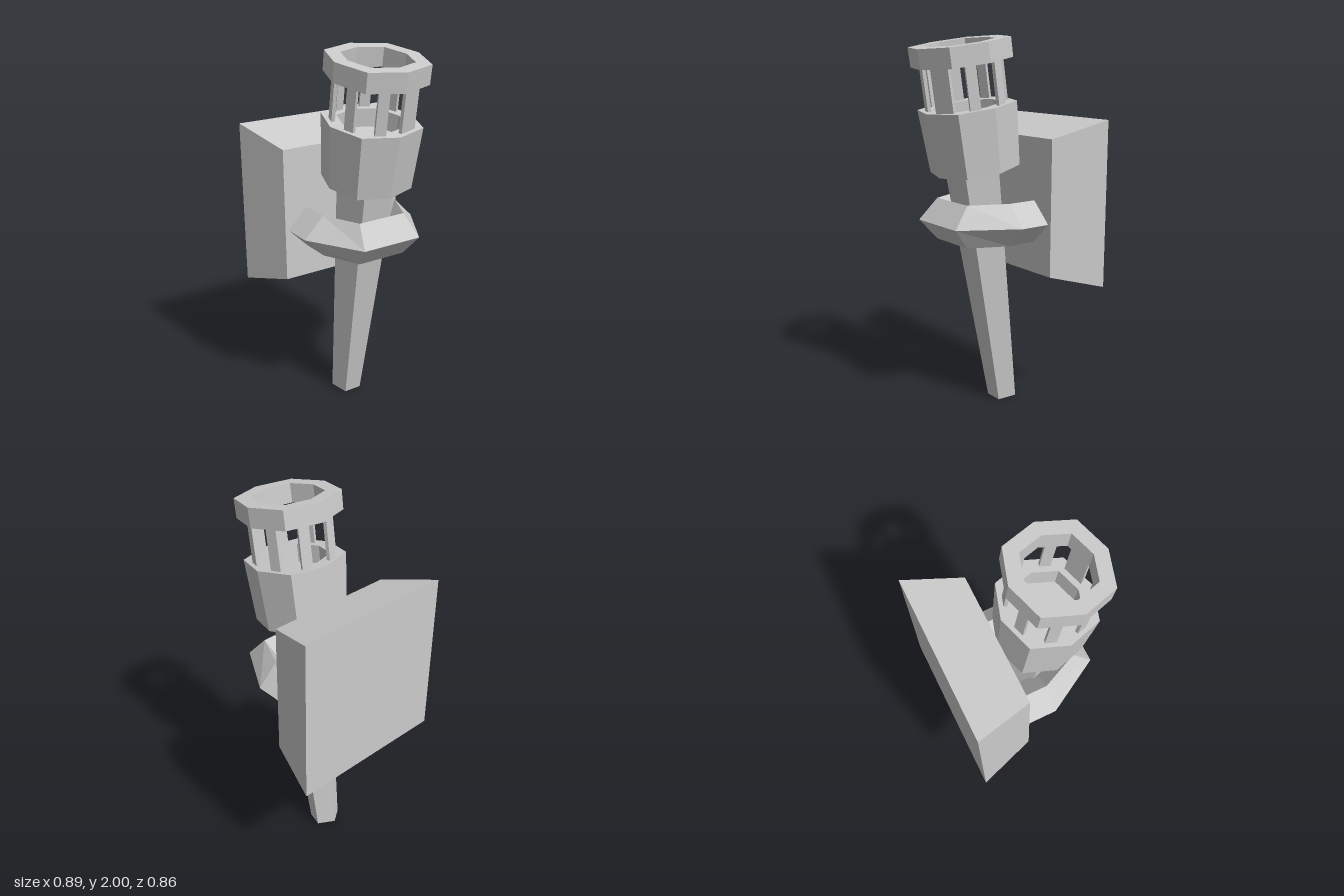
import * as THREE from 'three';

const material = new THREE.MeshStandardMaterial({ color: 0xcccccc, flatShading: true });

// Skin a list of equal-sized point loops; capped ends, or joined last to first
function loft(name, sections, joined = false) {
  const pos = [];
  const tri = (a, b, c) => pos.push(...a, ...b, ...c);
  const n = sections[0].length;
  const steps = joined ? sections.length : sections.length - 1;
  for (let s = 0; s < steps; s++) {
    const lo = sections[s], hi = sections[(s + 1) % sections.length];
    for (let i = 0; i < n; i++) {
      const j = (i + 1) % n;
      tri(lo[i], lo[j], hi[j]);
      tri(lo[i], hi[j], hi[i]);
    }
  }
  if (!joined) {
    const first = sections[0], last = sections[sections.length - 1];
    for (let i = 1; i < n - 1; i++) {
      tri(first[0], first[i + 1], first[i]);
      tri(last[0], last[i], last[i + 1]);
    }
  }
  const geometry = new THREE.BufferGeometry();
  geometry.setAttribute('position', new THREE.Float32BufferAttribute(pos, 3));
  geometry.computeVertexNormals();
  const mesh = new THREE.Mesh(geometry, material);
  mesh.name = name;
  return mesh;
}

// Slightly squared octagon with a corner facing forward
const d = 0.757;
const octagon = [[0, 1], [d, d], [1, 0], [d, -d], [0, -1], [-d, -d], [-1, 0], [-d, d]];
// Pentagon with a flat front and a corner at the back
const pentagon = Array.from({ length: 5 }, (_, i) => {
  const a = Math.PI + i * Math.PI * 0.4;
  return [Math.sin(a), Math.cos(a)];
});
// Horizontal loops from [height, radius] pairs
const rings = (outline, profile) =>
  profile.map(([y, r]) => outline.map(([x, z]) => [x * r, y, z * r]));

export function createModel() {
  const model = new THREE.Group();
  model.name = 'wallTorch';

  // Wall plate, tapering towards the front
  const rect = (w, y0, y1, z) => [[-w, y0, z], [w, y0, z], [w, y1, z], [-w, y1, z]];
  model.add(loft('wallPlate', [rect(0.447, 0.685, 1.577, -0.43), rect(0.36, 0.77, 1.49, -0.125)]));

  // Holder: diamond section bent around the torch, [x, z] of outer, ridge and inner line
  const half = [
    [[0.34, -0.13], [0.228, -0.13], [0.113, -0.13]],
    [[0.34, 0.04], [0.228, 0.04], [0.113, 0.04]],
    [[0.17, 0.335], [0.137, 0.24], [0.1, 0.145]],
  ];
  const mirrored = half.map((s) => s.map(([x, z]) => [-x, z])).reverse();
  const diamonds = [...half, ...mirrored].map(([o, c, i]) => [
    [o[0], 1.048, o[1]], [c[0], 1.16, c[1]], [i[0], 1.048, i[1]], [c[0], 0.937, c[1]],
  ]);
  model.add(loft('holder', diamonds));

  // Torch, leaning forward
  const torch = new THREE.Group();
  torch.name = 'torch';
  torch.position.set(0, 0.01, -0.1);
  torch.rotation.x = THREE.MathUtils.degToRad(8.4);
  model.add(torch);

  torch.add(loft('handle', rings(pentagon, [[0, 0.085], [1.36, 0.157]])));
  torch.add(loft('cup', rings(octagon, [[1.325, 0.222], [1.658, 0.243], [1.658, 0.168], [1.56, 0.165]])));
  torch.add(loft('topRing', rings(octagon, [[1.877, 0.247], [1.978, 0.247], [1.978, 0.172], [1.877, 0.172]]), true));

  // Posts, one along each side of the octagon; one is wider
  octagon.forEach(([x0, z0], i) => {
    const [x1, z1] = octagon[(i + 1) % 8];
    const post = new THREE.Mesh(new THREE.BoxGeometry(i === 0 ? 0.11 : 0.056, 0.25, 0.018), material);
    post.name = 'post';
    post.position.set((x0 + x1) * 0.105, 1.768, (z0 + z1) * 0.105);
    post.rotation.y = Math.atan2(z0 - z1, x1 - x0);
    torch.add(post);
  });

  return model;
}
